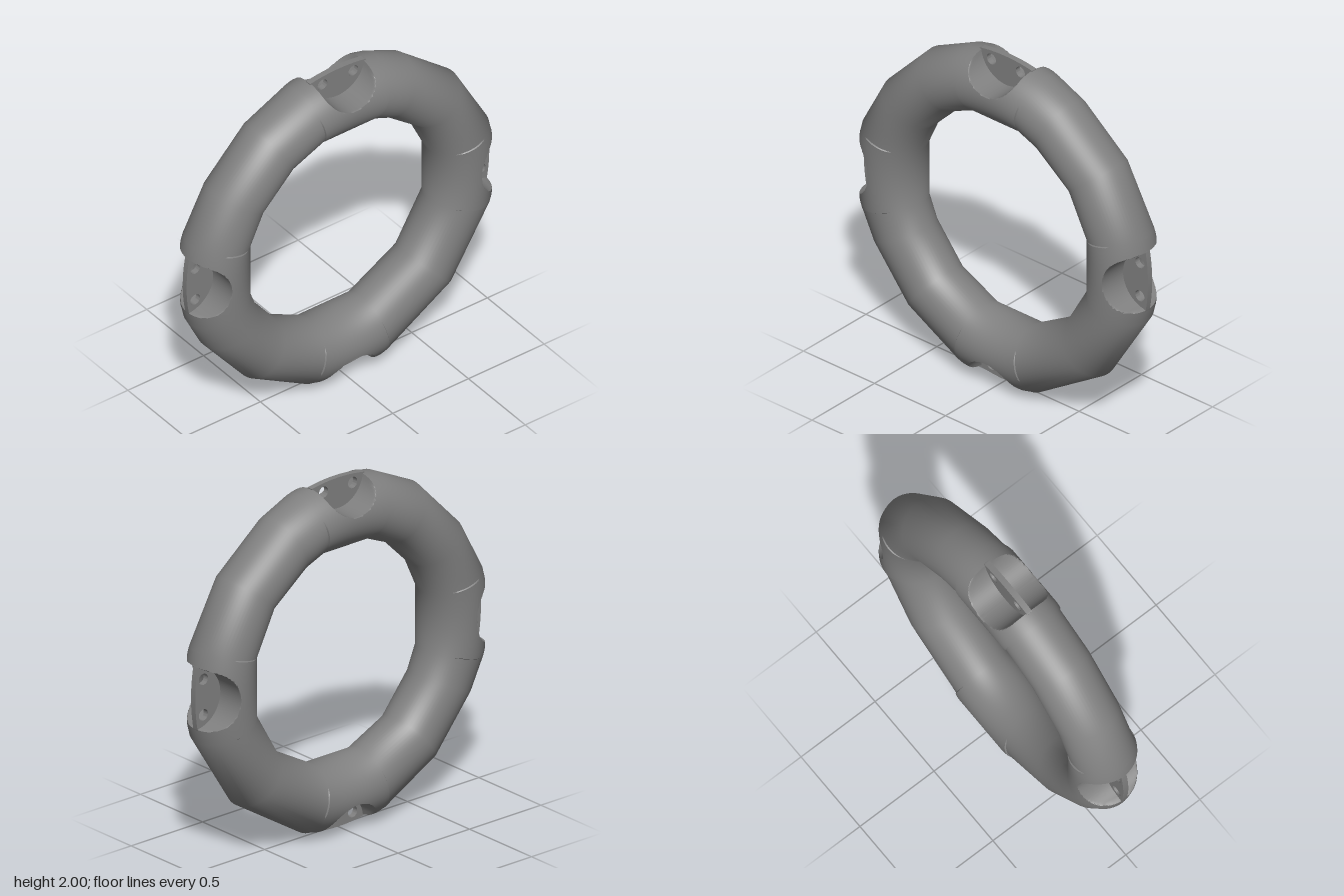
import * as THREE from 'three';
import { toCreasedNormals } from 'three/addons/utils/BufferGeometryUtils.js';

const SIDES = 64;          // points around the tube
const HALF_WIDTH = 0.178;  // tube half width in x
const CENTRE_RADIUS = 0.8; // radius of the tube's centre line
const SCOOP = 0.175;       // radius of the cylindrical recesses
const STEPS = 96;          // fine steps across each recess

// Stations round the ring: [outer z, outer y, inner z, inner y], four quadrants,
// starting just above the front recess. A recess lies between quadrants.
const QUADRANTS = [
  [[0.97, 1.26, 0.61, 1.17], [0.82, 1.54, 0.53, 1.35], [0.54, 1.83, 0.35, 1.53], [0.26, 1.965, 0.165, 1.61]],
  [[-0.26, 1.965, -0.165, 1.61], [-0.45, 1.88, -0.29, 1.56], [-0.77, 1.62, -0.5, 1.4], [-0.97, 1.26, -0.61, 1.17]],
  [[-0.97, 0.74, -0.61, 0.84], [-0.7, 0.31, -0.45, 0.56], [-0.26, 0.035, -0.165, 0.4]],
  [[0.26, 0.035, 0.165, 0.4], [0.62, 0.24, 0.4, 0.51], [0.88, 0.56, 0.56, 0.71], [0.97, 0.74, 0.61, 0.84]],
];

// Round section spanning a station's outer and inner points
function section([oz, oy, iz, iy]) {
  const points = [];
  for (let j = 0; j < SIDES; j++) {
    const a = (j / SIDES) * Math.PI * 2;
    const k = (1 + Math.cos(a)) / 2;
    points.push(new THREE.Vector3(
      HALF_WIDTH * Math.sin(a), iy + (oy - iy) * k, iz + (oz - iz) * k));
  }
  return points;
}

// Swell the tube beside a recess, then cut it back to a cylinder lying along x
function carve(p, angle) {
  const c = Math.cos(angle), s = Math.sin(angle);
  const u = -s * p.z + c * (p.y - 1);
  let v = c * p.z + s * (p.y - 1);
  const swell = (1 - THREE.MathUtils.smoothstep(Math.abs(u), 0.18, 0.26))
    * THREE.MathUtils.smoothstep(v, 0.62, 0.84);
  p.x *= 1 + 0.07 * swell;
  v += Math.max(0, v - 0.8) * 0.08 * swell;
  if (Math.abs(u) < SCOOP) v = Math.min(v, 1 - Math.sqrt(SCOOP * SCOOP - u * u));
  p.z = c * v - s * u;
  p.y = 1 + s * v + c * u;
  return p;
}

// Shade the tube's skin as one continuous round ring; recess walls keep their own normals
function smoothSkin(geometry) {
  const { position, normal } = geometry.attributes;
  const p = new THREE.Vector3(), n = new THREE.Vector3();
  for (let i = 0; i < position.count; i++) {
    p.fromBufferAttribute(position, i);
    n.fromBufferAttribute(normal, i);
    const radius = Math.hypot(p.y - 1, p.z);
    const k = 1 - CENTRE_RADIUS / radius;
    p.set(p.x, (p.y - 1) * k, p.z * k);
    const distance = p.length();
    p.normalize();
    if (distance > 0.145 && p.dot(n) > 0.85) normal.setXYZ(i, p.x, p.y, p.z);
  }
  return geometry;
}

function ringGeometry() {
  const rings = [];
  QUADRANTS.forEach((quadrant, q) => {
    quadrant.forEach((station) => rings.push(section(station)));
    // Finely divided stretch with the recess that follows this quadrant
    const from = quadrant[quadrant.length - 1];
    const to = QUADRANTS[(q + 1) % 4][0];
    for (let i = 1; i < STEPS; i++) {
      const station = from.map((n, k) => n + (to[k] - n) * (i / STEPS));
      rings.push(section(station).map((p) => carve(p, ((q + 1) * Math.PI) / 2)));
    }
  });

  const positions = [], indices = [];
  rings.forEach((ring, i) => {
    const next = ((i + 1) % rings.length) * SIDES;
    ring.forEach((p, j) => {
      positions.push(p.x, p.y, p.z);
      const k = (j + 1) % SIDES, here = i * SIDES;
      indices.push(here + j, here + k, next + k, here + j, next + k, next + j);
    });
  });
  const geometry = new THREE.BufferGeometry();
  geometry.setAttribute('position', new THREE.Float32BufferAttribute(positions, 3));
  geometry.setIndex(indices);
  return smoothSkin(toCreasedNormals(geometry, 0.7));
}

// Thin lens-shaped plate with two holes, filling the middle of a recess
function lugGeometry() {
  const half = 0.185, thickness = 0.034;
  const shape = new THREE.Shape();
  shape.absarc(0, 0, 1, Math.PI / 2 - half, Math.PI / 2 + half, false);
  shape.absarc(0, 1, half, Math.PI + 0.093, 2 * Math.PI - 0.093, false);
  for (const side of [-1, 1]) {
    const hole = new THREE.Path();
    hole.absarc(side * 0.102, 0.943, 0.032, 0, Math.PI * 2, true);
    shape.holes.push(hole);
  }
  const geometry = new THREE.ExtrudeGeometry(shape, {
    depth: thickness, bevelEnabled: false, curveSegments: 24,
  });
  geometry.translate(0, 0, -thickness / 2);
  geometry.rotateY(Math.PI / 2);
  return toCreasedNormals(geometry, 0.6);
}

export function createModel() {
  const model = new THREE.Group();
  model.name = 'ringFloat';
  const material = new THREE.MeshStandardMaterial({ color: 0x808080 });

  const ring = new THREE.Mesh(ringGeometry(), material);
  ring.name = 'ringTube';
  model.add(ring);

  // Lugs at top, front, bottom and back
  const lug = lugGeometry();
  ['topLug', 'frontLug', 'bottomLug', 'backLug'].forEach((name, i) => {
    const mesh = new THREE.Mesh(lug, material);
    mesh.name = name;
    mesh.position.y = 1;
    mesh.rotation.x = (i * Math.PI) / 2;
    model.add(mesh);
  });
  return model;
}
